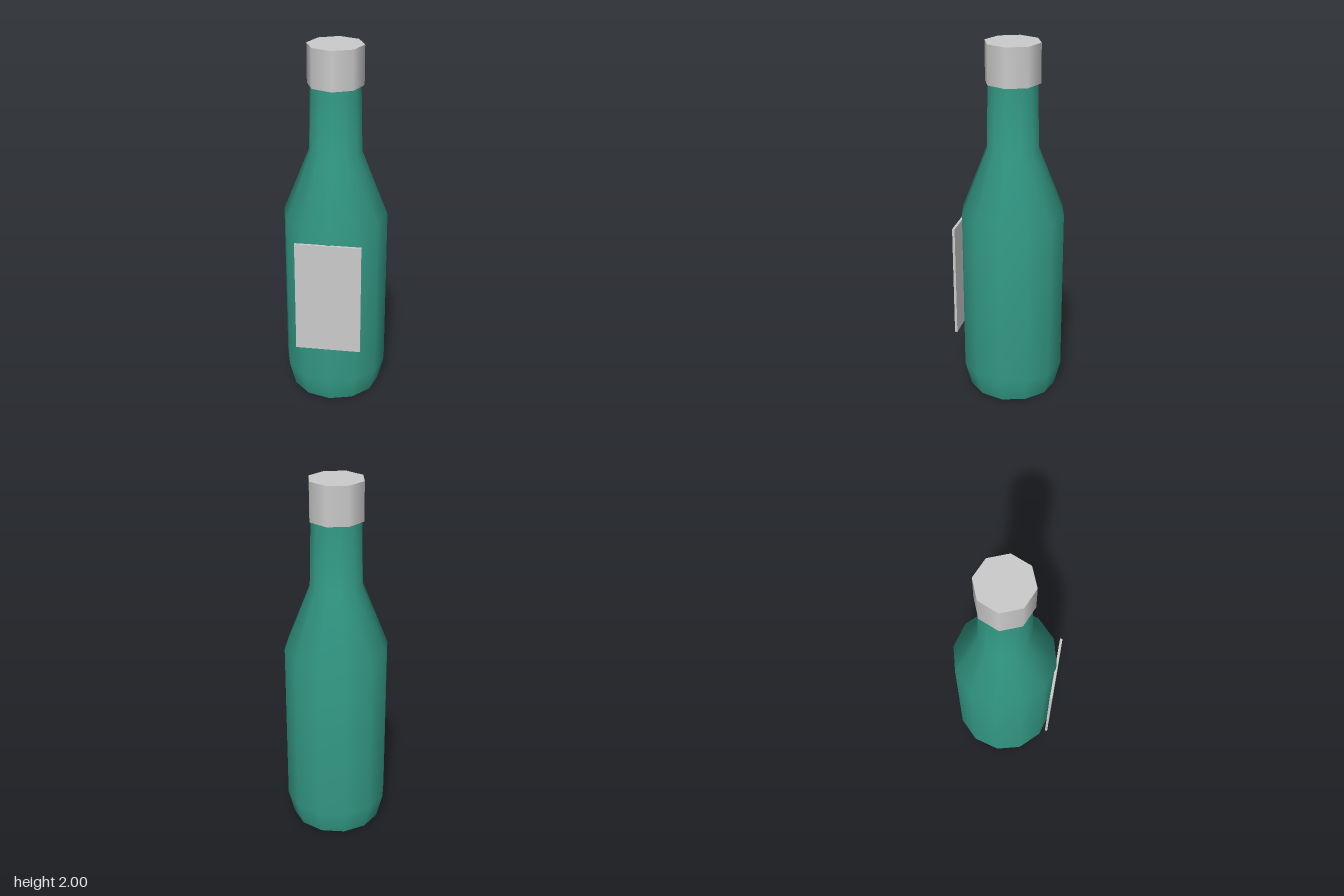
import * as THREE from 'three';

export function createModel() {
  const model = new THREE.Group();
  const glass = new THREE.MeshStandardMaterial({ color: 0x339985 });
  const grey = new THREE.MeshStandardMaterial({ color: 0xcccccc });

  const add = (name, geometry, material, y, z) => {
    const mesh = new THREE.Mesh(geometry, material);
    mesh.name = name;
    mesh.position.set(0, y, z);
    model.add(mesh);
    return mesh;
  };

  const axisZ = -0.004; // the label pushes the bottle slightly back
  const sides = 12;

  // Bottle wall: tapered foot, straight body, sloping shoulder, slim neck
  const profile = [
    [0.25, 0], [0.285, 0.14], [0.285, 1.07], [0.143, 1.43], [0.133, 1.85],
  ].map(([r, y]) => new THREE.Vector2(r, y));
  add('bottleBody', new THREE.LatheGeometry(profile, sides), glass, 0, axisZ);

  // Flat base with a crisp edge
  const base = new THREE.CircleGeometry(0.25, sides).rotateX(Math.PI / 2);
  add('bottleBase', base, glass, 0, axisZ);

  // Eight-sided cap over the neck
  add('cap', new THREE.CylinderGeometry(0.15, 0.15, 0.21, 8), grey, 1.895, axisZ);

  // Flat label panel on the front
  add('label', new THREE.BoxGeometry(0.356, 0.64, 0.014), grey, 0.68, 0.282);

  return model;
}
